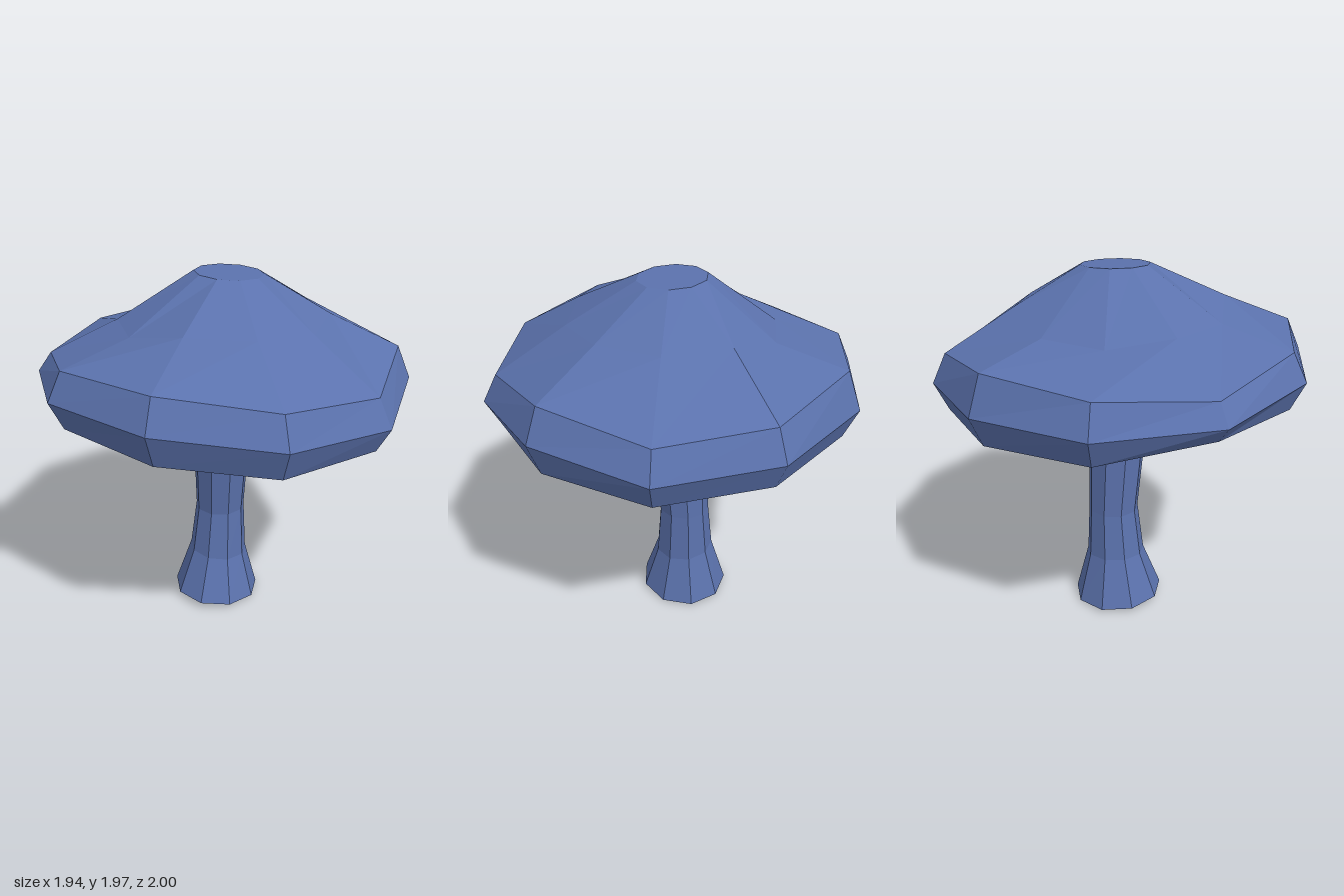
import * as THREE from 'three';

const material = new THREE.MeshStandardMaterial({ color: 0x5b72ad, flatShading: true });

// Ring of points: radius r round (cx, cz); y is a number, a list or a function of the angle
function ring(sides, phase, r, y, cx = 0, cz = 0, rz = r) {
  return Array.from({ length: sides }, (_, i) => {
    const a = THREE.MathUtils.degToRad(phase) + (i / sides) * Math.PI * 2;
    const h = Array.isArray(y) ? y[i] : typeof y === 'function' ? y(a) : y;
    return new THREE.Vector3(cx + r * Math.cos(a), h, cz + rz * Math.sin(a));
  });
}

// Skin a stack of rings and close both ends
function loft(name, rings) {
  const positions = [];
  const tri = (...points) => points.forEach((p) => positions.push(p.x, p.y, p.z));
  const centre = (points) =>
    points.reduce((sum, p) => sum.add(p), new THREE.Vector3()).divideScalar(points.length);
  const n = rings[0].length;
  const first = rings[0];
  const last = rings[rings.length - 1];
  const start = centre(first);
  const end = centre(last);
  for (let i = 0; i < n; i++) {
    const j = (i + 1) % n;
    for (let k = 0; k < rings.length - 1; k++) {
      const lo = rings[k];
      const hi = rings[k + 1];
      tri(lo[i], hi[i], lo[j]);
      tri(lo[j], hi[i], hi[j]);
    }
    tri(start, first[i], first[j]);
    tri(end, last[j], last[i]);
  }
  const geometry = new THREE.BufferGeometry();
  geometry.setAttribute('position', new THREE.Float32BufferAttribute(positions, 3));
  geometry.computeVertexNormals();
  const mesh = new THREE.Mesh(geometry, material);
  mesh.name = name;
  return mesh;
}

export function createModel() {
  const group = new THREE.Group();
  group.name = 'mushroom';

  // Uneven heights round the cap, starting at the model's left and going by the front
  const lower = [1.23, 1.23, 1.245, 1.305, 1.33, 1.345, 1.265, 1.25, 1.23, 1.2];
  const rim = [1.41, 1.36, 1.405, 1.475, 1.48, 1.43, 1.41, 1.41, 1.38, 1.345];
  const upper = [1.585, 1.505, 1.56, 1.637, 1.625, 1.535, 1.57, 1.61, 1.54, 1.5];
  const middle = [1.76, 1.74, 1.77, 1.785, 1.72, 1.72, 1.68, 1.69, 1.77, 1.76];
  const hollow = lower.map((y) => y + 0.19);

  // Cap: hollow underside, bevelled rim, sloping crown with a small flat top
  const capRing = (r, y, cx, cz) => ring(10, -14, r, y, cx, cz);
  group.add(loft('cap', [
    capRing(0.2, 1.6),
    capRing(0.74, hollow),
    capRing(0.93, lower),
    capRing(1.0, rim),
    capRing(0.925, upper),
    capRing(0.555, middle),
    capRing(0.183, (a) => 1.965 - 0.01 * Math.cos(a), 0.025, -0.027),
  ]));

  // Stem: slightly leaning, narrow waist and flared, tilted foot
  const stemRing = (r, y, cx, cz, rz) => ring(9, 15, r, y, cx, cz, rz);
  group.add(loft('stem', [
    stemRing(0.25, (a) => 0.022 + 0.016 * Math.sin(a) - 0.01 * Math.cos(a), -0.055, -0.035, 0.255),
    stemRing(0.166, (a) => 0.295 - 0.015 * Math.cos(a), -0.045, -0.048),
    stemRing(0.142, 0.58, -0.035, -0.058),
    stemRing(0.163, 1.08, -0.015, -0.025),
    stemRing(0.195, 1.62, 0.015, 0),
  ]));

  return group;
}
